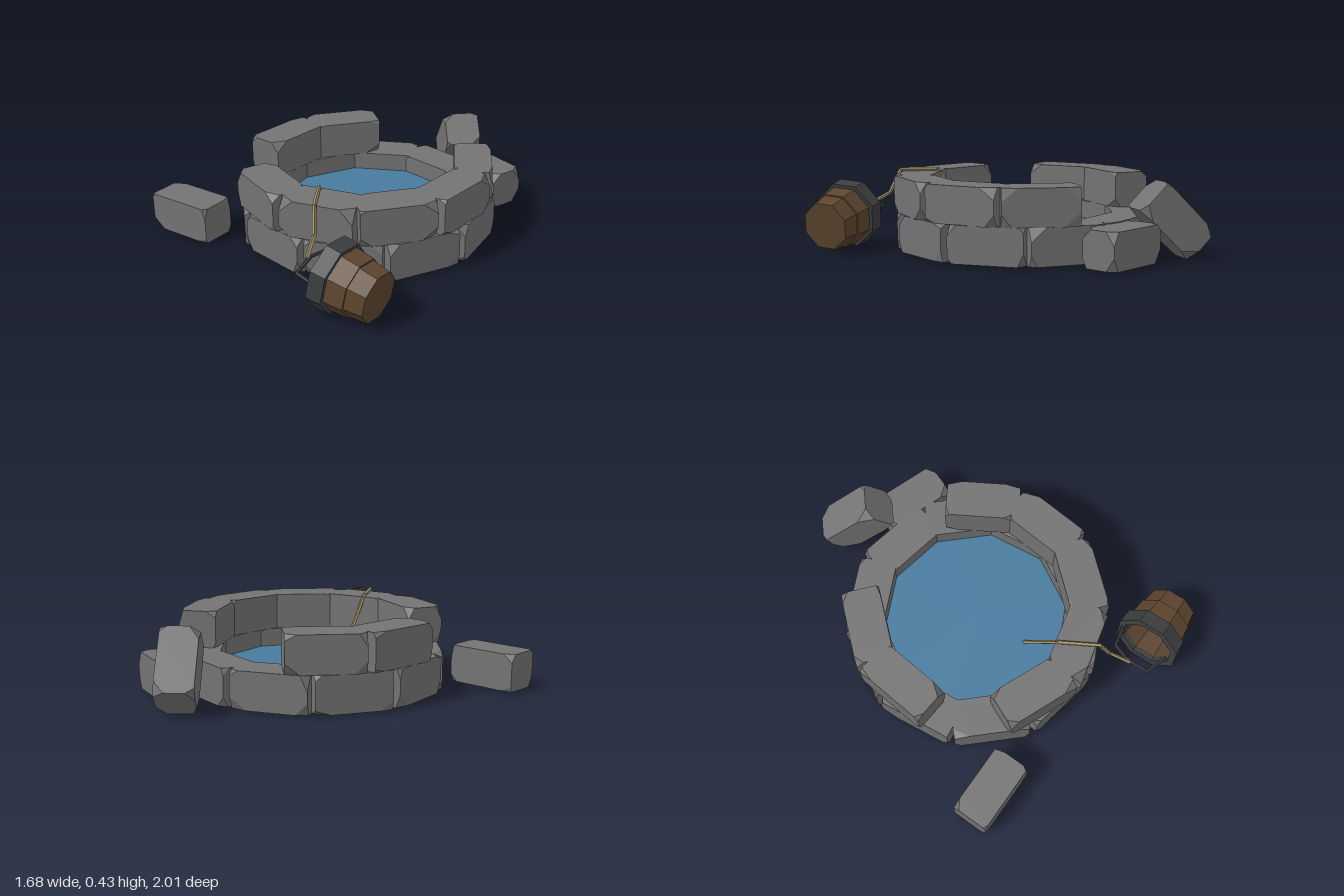
import * as THREE from 'three';
import { ConvexGeometry } from 'three/addons/geometries/ConvexGeometry.js';

const mat = (name, color, side = THREE.FrontSide) => {
  const m = new THREE.MeshStandardMaterial({ color, side });
  m.name = name;
  return m;
};

// Small seeded generator for the stone chips
let seed = 7;
const rand = (a, b) => {
  seed = (seed * 16807) % 2147483647;
  return a + (b - a) * (seed / 2147483647);
};

const faceted = (geo) => {
  const g = geo.index ? geo.toNonIndexed() : geo;
  g.computeVertexNormals();
  return g;
};

export function createModel() {
  const model = new THREE.Group();
  model.name = 'ruinedWell';
  const stone = mat('stone grey', 0x737373);
  const water = mat('water blue', 0x477a9e, THREE.DoubleSide);
  const wood = mat('bucket brown', 0x5e4630);
  const iron = mat('dark iron', 0x3d3e40);
  const hemp = mat('rope tan', 0x9f8f68);

  const add = (parent, name, geo, material) => {
    const mesh = new THREE.Mesh(geo, material);
    mesh.name = name;
    parent.add(mesh);
    return mesh;
  };

  // Block with all eight corners chipped off by different amounts
  const stoneGeometry = (l, h, d) => {
    const pts = [];
    for (const sx of [-1, 1]) for (const sy of [-1, 1]) for (const sz of [-1, 1]) {
      const x = sx * l / 2, y = sy * h / 2, z = sz * d / 2;
      pts.push(new THREE.Vector3(x - sx * rand(0.015, 0.09), y, z));
      pts.push(new THREE.Vector3(x, y - sy * rand(0.015, 0.08), z));
      pts.push(new THREE.Vector3(x, y, z - sz * rand(0.01, 0.06)));
    }
    return faceted(new ConvexGeometry(pts));
  };

  // Two staggered courses of ten blocks; the upper one has three missing
  const cx = -0.11, cz = 0.02;
  const course = (name, y, startDeg, missing) => {
    const ring = new THREE.Group();
    ring.name = name;
    for (let i = 0; i < 10; i++) {
      if (missing.includes(i)) continue;
      const a = THREE.MathUtils.degToRad(startDeg + 36 * i);
      const block = add(ring, name + 'Stone', stoneGeometry(0.405, 0.2, 0.205), stone);
      block.position.set(cx + 0.585 * Math.cos(a), y, cz + 0.585 * Math.sin(a));
      block.rotation.y = Math.PI / 2 - a;
    }
    model.add(ring);
  };
  course('lowerCourse', 0.11, 11, []);
  course('upperCourse', 0.308, 23, [3, 6, 7]);

  // Fallen blocks around the well
  const fallen = [
    [-0.62, 0.11, 0.845, 0.31, 0],
    [0.02, 0.105, -0.76, -0.03, 0],
    [-0.31, 0.21, -0.835, -0.53, 0.78],
  ];
  for (const [x, y, z, yaw, tilt] of fallen) {
    const block = add(model, 'fallenStone', stoneGeometry(0.385, 0.2, 0.2), stone);
    block.position.set(x, y, z);
    block.rotation.set(0, yaw, tilt, 'YXZ');
  }

  // Water surface
  const pool = add(model, 'water', new THREE.CircleGeometry(0.56, 20), water);
  pool.rotation.x = -Math.PI / 2;
  pool.position.set(cx, 0.11, cz);

  // Chain of straight faceted rods through the given points
  const up = new THREE.Vector3(0, 1, 0);
  const rods = (name, points, r, material) => {
    const group = new THREE.Group();
    group.name = name;
    const v = points.map((p) => new THREE.Vector3(...p));
    for (let i = 0; i + 1 < v.length; i++) {
      const dir = v[i + 1].clone().sub(v[i]);
      const len = dir.length();
      const rod = add(group, name + 'Segment', faceted(new THREE.CylinderGeometry(r, r, len + r, 5)), material);
      rod.position.copy(v[i]).addScaledVector(dir, 0.5);
      rod.quaternion.setFromUnitVectors(up, dir.normalize());
    }
    model.add(group);
  };
  rods('rope', [[0.01, 0.06, 0.27], [0.1, 0.418, 0.48], [0.26, 0.418, 0.62],
    [0.31, 0.285, 0.66], [0.38, 0.22, 0.75]], 0.011, hemp);
  rods('bucketHandle', [[0.5, 0.21, 0.565], [0.38, 0.225, 0.635], [0.38, 0.22, 0.73],
    [0.435, 0.195, 0.85], [0.56, 0.19, 0.845]], 0.01, iron);

  // Bucket lying on its side, mouth towards the well
  const bucket = new THREE.Group();
  bucket.name = 'bucket';
  const lathe = (pts) => faceted(new THREE.LatheGeometry(pts.map((p) => new THREE.Vector2(...p)), 8));
  add(bucket, 'bucketBody', lathe([[0, 0], [0.135, 0], [0.148, 0.1], [0.156, 0.1], [0.17, 0.26],
    [0.148, 0.26], [0.118, 0.03], [0, 0.03]]), wood);
  add(bucket, 'bucketRim', lathe([[0.142, 0.205], [0.185, 0.205], [0.19, 0.29], [0.152, 0.29],
    [0.142, 0.205]]), iron);
  bucket.position.set(0.8, 0.15, 0.635);
  bucket.quaternion.setFromUnitVectors(up, new THREE.Vector3(-0.93, 0.17, 0.3).normalize());
  model.add(bucket);

  return model;
}
